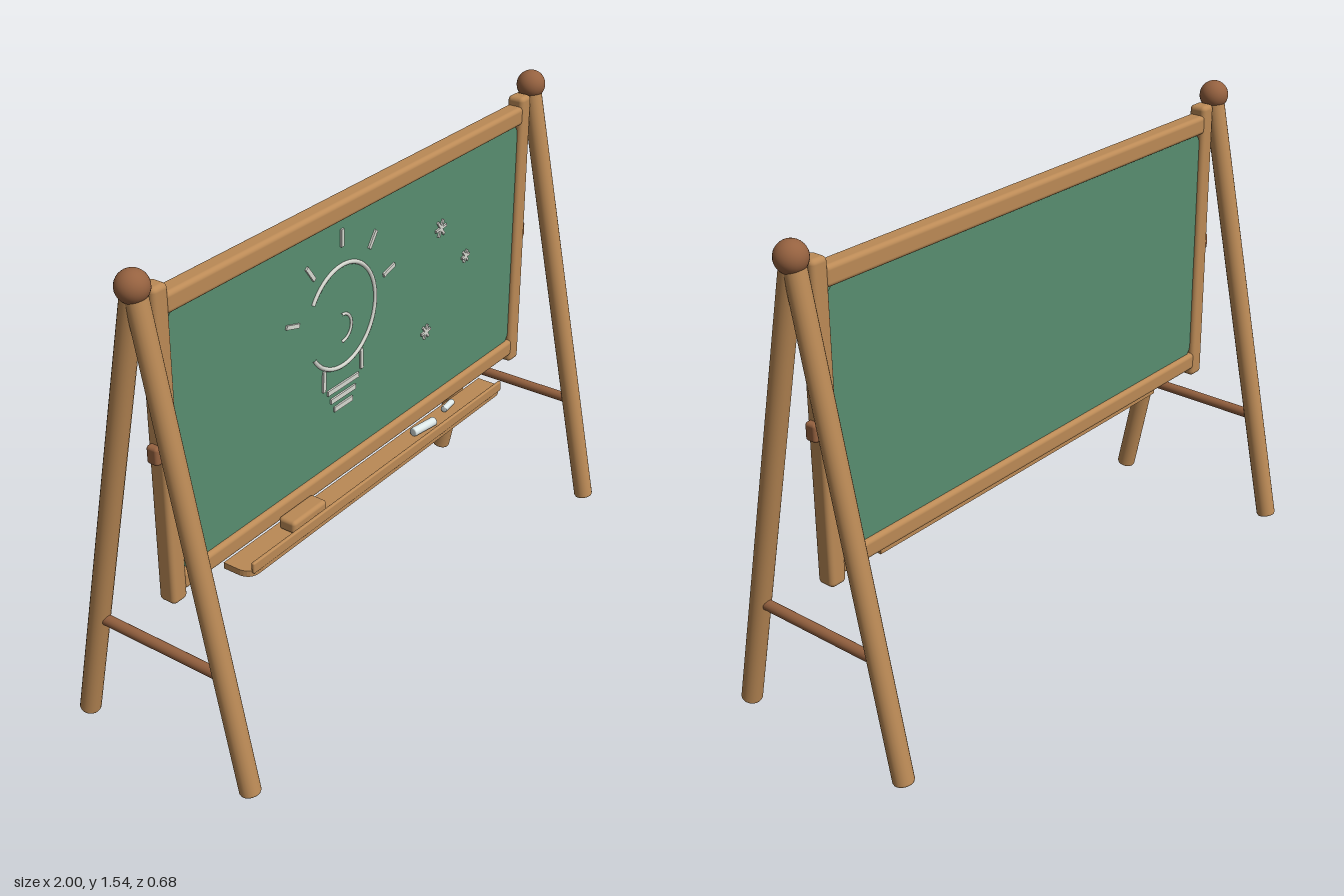
import * as THREE from 'three';
import { RoundedBoxGeometry } from 'three/addons/geometries/RoundedBoxGeometry.js';

const mat = (name, color) => new THREE.MeshStandardMaterial({ name, color });

export function createModel() {
  const model = new THREE.Group();
  model.name = 'chalkboardEasel';
  const wood = mat('wood', 0xbb8a56);
  const darkWood = mat('darkWood', 0x966240);
  const green = mat('boardGreen', 0x588d6f);
  const chalk = mat('chalkLine', 0xd6d8d0);
  const stick = mat('chalkStick', 0xdde8e8);

  const add = (name, geo, material, x = 0, y = 0, z = 0, parent = model) => {
    const m = new THREE.Mesh(geo, material);
    m.name = name;
    m.position.set(x, y, z);
    parent.add(m);
    return m;
  };
  const box = (name, w, h, d, r, material, x, y, z) =>
    add(name, new RoundedBoxGeometry(w, h, d, 3, r), material, x, y, z);

  // Round bar with softened ends between two points
  const bar = (name, a, b, r, material) => {
    const A = new THREE.Vector3(...a), B = new THREE.Vector3(...b);
    const dir = B.clone().sub(A), h = dir.length() / 2, e = r * 0.25;
    const pts = [[0, -h], [r - e, -h], [r - e * 0.3, -h + e * 0.3], [r, -h + e],
      [r, h - e], [r - e * 0.3, h - e * 0.3], [r - e, h], [0, h]]
      .map(p => new THREE.Vector2(...p));
    const m = add(name, new THREE.LatheGeometry(pts, 20), material);
    m.position.copy(A).add(B).multiplyScalar(0.5);
    m.quaternion.setFromUnitVectors(new THREE.Vector3(0, 1, 0), dir.normalize());
    return m;
  };

  // A-frame supports, mirrored left and right
  for (const s of [1, -1]) {
    const side = s > 0 ? 'left' : 'right';
    for (const f of [1, -1]) {
      bar(side + (f > 0 ? 'FrontLeg' : 'BackLeg'),
        [s * 0.95, 0.007, f * 0.311], [s * 0.95, 1.49, f * 0.002], 0.032, wood);
    }
    add(side + 'Knob', new THREE.SphereGeometry(0.047, 28, 18), darkWood, s * 0.953, 1.493, 0);
    bar(side + 'Crossbar', [s * 0.95, 0.38, -0.215], [s * 0.95, 0.38, 0.215], 0.017, darkWood);
    box(side + 'Rail', 0.058, 0.97, 0.06, 0.015, wood, s * 0.883, 0.99, 0);
    box(side + 'Pivot', 0.04, 0.056, 0.04, 0.01, darkWood, s * 0.911, 0.99, 0);
  }

  // Frame rails
  box('topRail', 1.73, 0.062, 0.06, 0.014, wood, 0, 1.415, 0);
  box('bottomRail', 1.73, 0.06, 0.06, 0.014, wood, 0, 0.563, 0);

  // Board with rounded corners
  const roundRect = (w, h, r) => {
    const s = new THREE.Shape();
    s.absarc(w - r, h - r, r, 0, Math.PI / 2);
    s.absarc(-w + r, h - r, r, Math.PI / 2, Math.PI);
    s.absarc(-w + r, -h + r, r, Math.PI, Math.PI * 1.5);
    s.absarc(w - r, -h + r, r, Math.PI * 1.5, Math.PI * 2);
    return s;
  };
  add('board', new THREE.ExtrudeGeometry(roundRect(0.855, 0.405, 0.045),
    { depth: 0.03, bevelEnabled: false, curveSegments: 8 }), green, 0, 0.987, -0.015);

  // Tray with rounded front corners and a raised lip
  const tray = new THREE.Shape();
  tray.moveTo(-0.68, -0.01);
  tray.lineTo(-0.68, -0.07);
  tray.quadraticCurveTo(-0.675, -0.106, -0.64, -0.108);
  tray.lineTo(0.64, -0.108);
  tray.quadraticCurveTo(0.675, -0.106, 0.68, -0.07);
  tray.lineTo(0.68, -0.01);
  const trayMesh = add('tray', new THREE.ExtrudeGeometry(tray,
    { depth: 0.02, bevelEnabled: false, curveSegments: 6 }), wood, 0, 0.494, 0);
  trayMesh.rotation.x = -Math.PI / 2;
  box('trayLip', 1.33, 0.036, 0.012, 0.005, wood, 0, 0.524, 0.105);

  // Eraser and chalk sticks
  box('eraser', 0.16, 0.042, 0.062, 0.012, wood, -0.373, 0.535, 0.06);
  bar('longChalk', [0.22, 0.53, 0.05], [0.323, 0.53, 0.064], 0.015, stick);
  bar('shortChalk', [0.408, 0.527, 0.045], [0.47, 0.527, 0.038], 0.011, stick);

  // Chalk drawing: raised strokes on the front face
  const drawing = new THREE.Group();
  drawing.name = 'chalkDrawing';
  model.add(drawing);
  const zFace = 0.017;
  const line = (name, x1, y1, x2, y2, w = 0.013) => {
    const m = add(name, new THREE.BoxGeometry(Math.hypot(x2 - x1, y2 - y1), w, 0.008),
      chalk, (x1 + x2) / 2, (y1 + y2) / 2, zFace, drawing);
    m.rotation.z = Math.atan2(y2 - y1, x2 - x1);
  };
  const arc = (name, x, y, r, w, from, to) => {
    const m = add(name, new THREE.TorusGeometry(r, w, 8, 48, THREE.MathUtils.degToRad(to - from)),
      chalk, x, y, zFace, drawing);
    m.rotation.z = THREE.MathUtils.degToRad(from);
    m.scale.z = 0.8;
  };
  const cx = -0.113;
  arc('bulbOutline', cx, 1.077, 0.165, 0.007, -148, 148);
  arc('bulbFilament', cx, 1.037, 0.044, 0.005, -100, 95);
  for (const s of [1, -1]) {
    line('bulbNeck', cx + s * 0.095, 0.862, cx + s * 0.092, 0.93);
    line('diagonalRay', cx + s * 0.133, 1.245, cx + s * 0.168, 1.293);
    line('sideRay', cx + s * 0.207, 1.13, cx + s * 0.265, 1.146);
  }
  line('topRay', cx, 1.3, cx, 1.355);
  [[0.848, 0.078], [0.814, 0.062], [0.78, 0.046]].forEach(([y, w]) =>
    line('bulbBase', cx - w, y, cx + w, y, 0.016));
  for (const [x, y, r] of [[0.405, 1.175, 0.03], [0.555, 1.025, 0.022], [0.331, 0.841, 0.025]]) {
    for (let i = 0; i < 3; i++) {
      const a = i * Math.PI / 3 + 0.1, dx = Math.cos(a) * r, dy = Math.sin(a) * r;
      line('starStroke', x - dx, y - dy, x + dx, y + dy, 0.009);
    }
  }
  return model;
}
